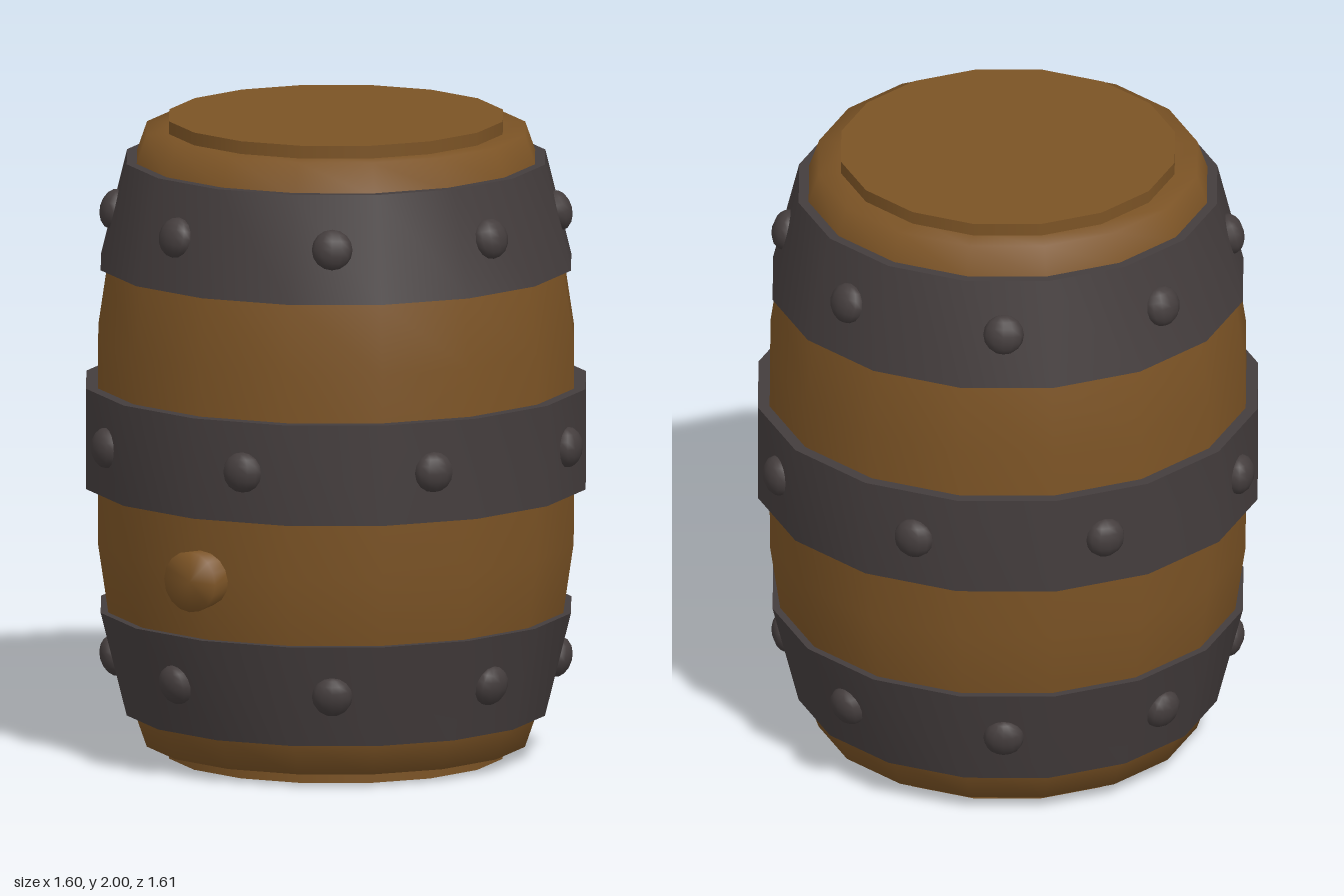
import * as THREE from 'three';
import { toCreasedNormals } from 'three/addons/utils/BufferGeometryUtils.js';

const SIDES = 16;

// Revolve [radius, y] pairs around the y axis
const lathe = (profile, sides = SIDES) =>
  new THREE.LatheGeometry(profile.map(([r, y]) => new THREE.Vector2(r, y)), sides);

export function createModel() {
  const wood = new THREE.MeshStandardMaterial({ color: 0x7b5325 });
  wood.name = 'wood';
  const iron = new THREE.MeshStandardMaterial({ color: 0x443d3d });
  iron.name = 'iron';

  const barrel = new THREE.Group();
  barrel.name = 'barrel';
  barrel.position.z = -0.008;

  const add = (name, geometry, material, parent = barrel) => {
    const mesh = new THREE.Mesh(geometry, material);
    mesh.name = name;
    parent.add(mesh);
    return mesh;
  };

  // Bulging staves with a rim at each end
  const half = [[0.5, 0.04], [0.595, 0.04], [0.63, 0.14], [0.68, 0.3], [0.715, 0.46], [0.748, 0.68]];
  const upper = half.map(([r, y]) => [r, 2 - y]).reverse();
  add('staves', lathe([...half, [0.75, 1], ...upper]), wood);

  // Round heads standing slightly proud of the rims
  for (const [name, y] of [['bottomHead', 0.03], ['topHead', 1.97]]) {
    const head = new THREE.CylinderGeometry(0.525, 0.525, 0.06, SIDES);
    add(name, head, wood).position.y = y;
  }

  // Hoops, each with eight rivets
  const hoops = [
    { name: 'bottomHoop', y0: 0.14, r0: 0.658, y1: 0.465, r1: 0.74, turn: -12 },
    { name: 'middleHoop', y0: 0.855, r0: 0.786, y1: 1.17, r1: 0.786, turn: 12 },
    { name: 'topHoop', y0: 1.54, r0: 0.74, y1: 1.87, r1: 0.658, turn: -12 },
  ];
  const rivetGeometry = new THREE.SphereGeometry(0.063, 12, 8);
  rivetGeometry.scale(1, 1, 0.68);

  for (const { name, y0, r0, y1, r1, turn } of hoops) {
    const group = new THREE.Group();
    group.name = name;
    barrel.add(group);
    const t = 0.05;
    const ring = lathe([[r0 - t, y0], [r0, y0], [r1, y1], [r1 - t, y1], [r0 - t, y0]]);
    add(name + 'Band', toCreasedNormals(ring, 0.7), iron, group);

    const slope = Math.atan2(r1 - r0, y1 - y0);
    for (let i = 0; i < 8; i++) {
      const a = THREE.MathUtils.degToRad(turn + 45 * i);
      const r = ((r0 + r1) / 2) * 0.982;
      const rivet = add('rivet', rivetGeometry, iron, group);
      rivet.position.set(r * Math.sin(a), (y0 + y1) / 2, r * Math.cos(a));
      rivet.rotation.set(slope, a, 0, 'YXZ');
    }
  }

  // Flared bung on the front
  const bung = lathe([[0.084, 0.68], [0.095, 0.808], [0, 0.808]], 16);
  bung.rotateX(Math.PI / 2);
  add('bung', bung, wood).position.y = 0.66;

  const model = new THREE.Group();
  model.name = 'model';
  model.add(barrel);
  return model;
}
